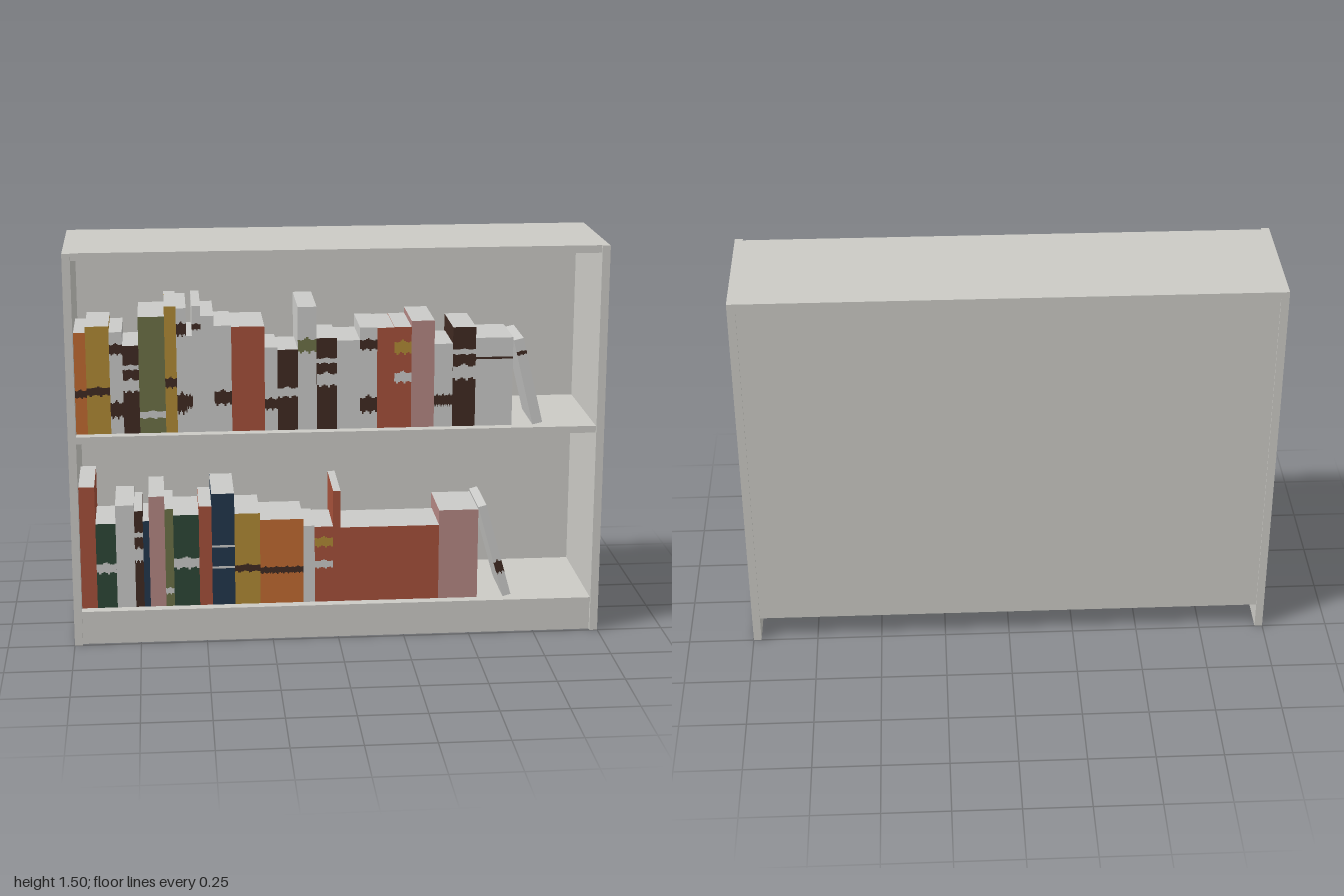
import * as THREE from 'three';

const mat = (name, color) => {
  const m = new THREE.MeshStandardMaterial({ color });
  m.name = name;
  return m;
};
const M = {
  shelf: mat('shelf grey', 0xcbcac5),
  white: mat('paper white', 0xcacac8),
  red: mat('brick red', 0xa5503a),
  orange: mat('orange', 0xc06a30),
  mustard: mat('mustard', 0xb08935),
  olive: mat('olive', 0x6c7147),
  brown: mat('dark brown', 0x3f2a22),
  pink: mat('dusty pink', 0xb48682),
  green: mat('dark green', 0x2d4636),
  navy: mat('navy', 0x22364c),
};

function box(name, material, x0, x1, y0, y1, z0, z1) {
  const mesh = new THREE.Mesh(new THREE.BoxGeometry(x1 - x0, y1 - y0, z1 - z0), material);
  mesh.position.set((x0 + x1) / 2, (y0 + y1) / 2, (z0 + z1) / 2);
  mesh.name = name;
  return mesh;
}

// Flat label across a spine, its edges stepped when it is tall enough
function band(colour, width, y0, y1) {
  const steps = y1 - y0 > 0.02 ? 9 : 1;
  const jag = (i, k) => (steps > 1 ? (y1 - y0) * 0.2 * Math.abs(Math.sin(i * k + 1)) : 0);
  const lower = [], upper = [];
  for (let i = 0; i < steps; i++) {
    for (const x of [i, i + 1]) {
      lower.push(new THREE.Vector2((x / steps) * width, y0 + jag(i, 2.3)));
      upper.unshift(new THREE.Vector2((x / steps) * width, y1 - jag(i, 3.7)));
    }
  }
  const shape = new THREE.Shape([...lower, ...upper]);
  const mesh = new THREE.Mesh(new THREE.ShapeGeometry(shape), M[colour]);
  mesh.name = 'spineBand';
  mesh.position.z = 0.0015;
  return mesh;
}

// Spine designs: each draws bands between two fractions of the book height
const designs = {
  plain: () => {},
  title: (put) => put('white', 0.4, 0.55),
  titlePair: (put) => { put('white', 0.46, 0.64); put('white', 0.72, 0.79); },
  foot: (put) => put('white', 0.12, 0.2),
  lines: (put) => { put('white', 0.33, 0.35); put('white', 0.52, 0.54); },
  waist: (put) => put('brown', 0.35, 0.45),
  darkPair: (put) => { put('brown', 0.14, 0.34); put('brown', 0.77, 0.9); },
  darkTop: (put) => put('brown', 0.81, 0.87),
  darkLine: (put) => put('brown', 0.76, 0.785),
  darkFoot: (put) => put('brown', 0.24, 0.41),
  goldTitle: (put) => { put('mustard', 0.72, 0.88); put('white', 0.44, 0.57); },
  oliveTitle: (put) => put('olive', 0.62, 0.76),
};

// Book with coloured spine and covers and white page edges; taller books are deeper
function book(colour, width, height, design) {
  const g = new THREE.Group();
  g.name = 'book';
  const c = M[colour], p = M.white;
  const depth = 0.1 + 0.38 * height;
  g.add(box('coverAndPages', [c, c, p, p, c, p], 0, width, 0, height, -depth, 0));
  designs[design]((bandColour, a, b) => g.add(band(bandColour, width, a * height, b * height)));
  return g;
}

// Row filled from the left end; add() stands copies of a book, lean() tips the last one
function bookRow(name, y) {
  const row = new THREE.Group();
  row.name = name;
  let x = -0.97;
  const place = (b, tilt) => {
    b.position.set(x, y, 0.2);
    b.rotation.z = tilt;
    row.add(b);
  };
  const add = (colour, width, height, design = 'plain', count = 1) => {
    for (let i = 0; i < count; i++, x += width) place(book(colour, width, height, design), 0);
  };
  const lean = (gap, tilt, width, height, design) => {
    x += gap;
    place(book('white', width, height, design), tilt);
  };
  return { row, add, lean };
}

function lowerBooks() {
  const { row, add, lean } = bookRow('lowerBooks', 0.13);
  add('red', 0.059, 0.478);
  add('green', 0.075, 0.333, 'title');
  add('white', 0.07, 0.403);
  add('brown', 0.032, 0.38, 'titlePair');
  add('navy', 0.023, 0.34);
  add('pink', 0.059, 0.435);
  add('olive', 0.032, 0.385, 'foot');
  add('green', 0.096, 0.36, 'title');
  add('red', 0.048, 0.392);
  add('navy', 0.086, 0.44, 'lines');
  add('mustard', 0.096, 0.36, 'waist');
  add('orange', 0.041, 0.333, 'waist', 4);
  add('white', 0.043, 0.305);
  add('red', 0.07, 0.3, 'goldTitle');
  add('red', 0.028, 0.44);
  add('red', 0.094, 0.295, 'plain', 4);
  add('pink', 0.05, 0.353, 'plain', 3);
  lean(0.1, 0.27, 0.032, 0.375, 'darkFoot');
  return row;
}

function upperBooks() {
  const { row, add, lean } = bookRow('upperBooks', 0.813);
  add('orange', 0.043, 0.385, 'waist');
  add('mustard', 0.086, 0.407, 'waist');
  add('white', 0.048, 0.385, 'darkPair');
  add('brown', 0.059, 0.333, 'titlePair');
  add('olive', 0.096, 0.44, 'foot');
  add('mustard', 0.043, 0.477, 'waist');
  add('white', 0.037, 0.47, 'darkPair');
  add('white', 0.021, 0.365, 'darkFoot');
  add('white', 0.032, 0.477, 'darkTop');
  add('white', 0.048, 0.44);
  add('white', 0.064, 0.402, 'darkFoot');
  add('red', 0.061, 0.397, 'plain', 2);
  add('white', 0.048, 0.317, 'darkFoot');
  add('brown', 0.075, 0.307, 'title');
  add('white', 0.07, 0.467, 'oliveTitle');
  add('brown', 0.075, 0.348, 'titlePair');
  add('white', 0.086, 0.338);
  add('white', 0.064, 0.385, 'darkPair');
  add('red', 0.064, 0.383);
  add('red', 0.064, 0.385, 'goldTitle');
  add('pink', 0.086, 0.407);
  add('white', 0.023, 0.318, 'darkFoot', 3);
  add('brown', 0.086, 0.38, 'titlePair');
  add('white', 0.07, 0.338, 'darkLine', 2);
  lean(0.08, 0.235, 0.038, 0.335, 'darkTop');
  return row;
}

export function createModel() {
  const model = new THREE.Group();
  model.name = 'bookcase';

  // Case
  for (const s of [-1, 1]) {
    const side = box('sidePanel', M.shelf, -0.015, 0.015, 0, 1.5, -0.25, 0.25);
    side.position.x = s * 0.985;
    model.add(side);
  }
  const board = (name, y0, y1, z0, z1) => model.add(box(name, M.shelf, -0.97, 0.97, y0, y1, z0, z1));
  board('topBoard', 1.472, 1.5, -0.25, 0.24);
  board('middleShelf', 0.787, 0.813, -0.235, 0.24);
  board('bottomShelf', 0.102, 0.13, -0.235, 0.24);
  board('plinth', 0, 0.102, 0.205, 0.235);
  board('backPanel', 0.102, 1.472, -0.245, -0.235);

  // Books
  model.add(lowerBooks(), upperBooks());
  return model;
}
